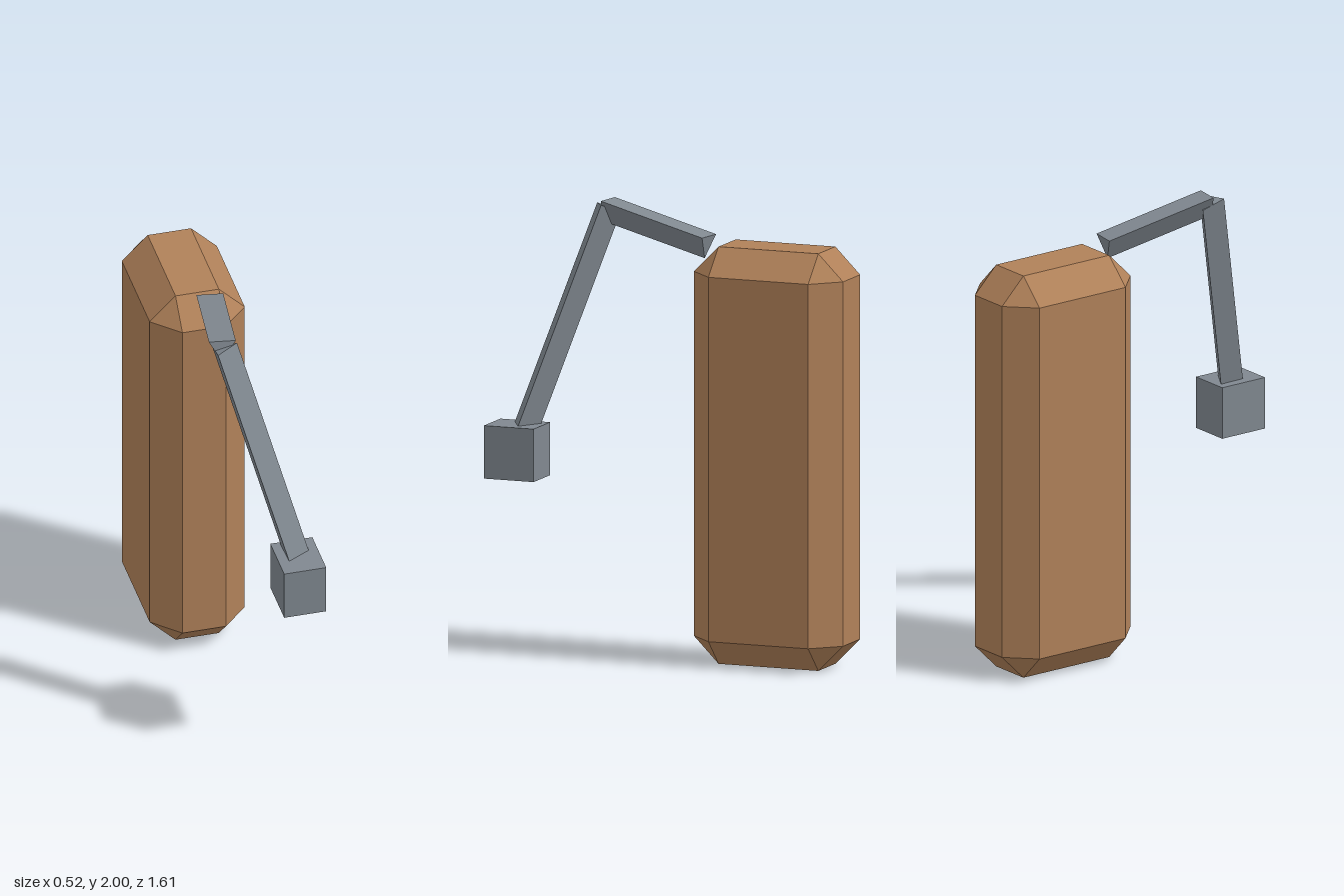
import * as THREE from 'three';
import { ConvexGeometry } from 'three/addons/geometries/ConvexGeometry.js';

const V = (x, y, z) => new THREE.Vector3(x, y, z);
const material = (color) => new THREE.MeshStandardMaterial({ color, flatShading: true });

// Box with every edge cut at 45 degrees and triangular corners
function chamferedBox(w, h, d, c) {
  const points = [];
  for (const sx of [-1, 1]) for (const sy of [-1, 1]) for (const sz of [-1, 1]) {
    for (let axis = 0; axis < 3; axis++) {
      const p = [w, h, d].map((size, i) => size / 2 - (i === axis ? 0 : c));
      points.push(V(sx * p[0], sy * p[1], sz * p[2]));
    }
  }
  return new ConvexGeometry(points);
}

// Triangular bar between two points, its ridge pointing towards `ridge`
function triangularBar(start, end, ridge, radius, mat) {
  const dir = end.clone().sub(start);
  const length = dir.length();
  dir.normalize();
  const z = ridge.clone().addScaledVector(dir, -ridge.dot(dir)).normalize();
  const x = dir.clone().cross(z);
  const mesh = new THREE.Mesh(new THREE.CylinderGeometry(radius, radius, length, 3), mat);
  mesh.quaternion.setFromRotationMatrix(new THREE.Matrix4().makeBasis(x, dir, z));
  mesh.position.copy(start).lerp(end, 0.5);
  return mesh;
}

export function createModel() {
  const group = new THREE.Group();
  const brown = material(0xb08159);
  const grey = material(0x808890);
  const add = (name, mesh) => { mesh.name = name; group.add(mesh); return mesh; };

  // Tall chamfered body
  add('body', new THREE.Mesh(chamferedBox(0.43, 1.85, 0.705, 0.117), brown))
    .position.set(-0.05, 0.925, -0.4525);

  // Arm of two bars meeting at an elbow
  const elbow = V(-0.093, 1.966, 0.371);
  add('upperArm', triangularBar(V(-0.013, 1.849, -0.14), elbow, V(0, -1, 0), 0.068, grey));
  add('lowerArm', triangularBar(elbow, V(0.165, 0.96, 0.676), V(-0.455, -0.36, -0.816), 0.068, grey));

  // Block hanging at the end of the arm
  add('endBlock', new THREE.Mesh(new THREE.BoxGeometry(0.19, 0.235, 0.235), grey))
    .position.set(0.165, 0.905, 0.687);

  return group;
}
